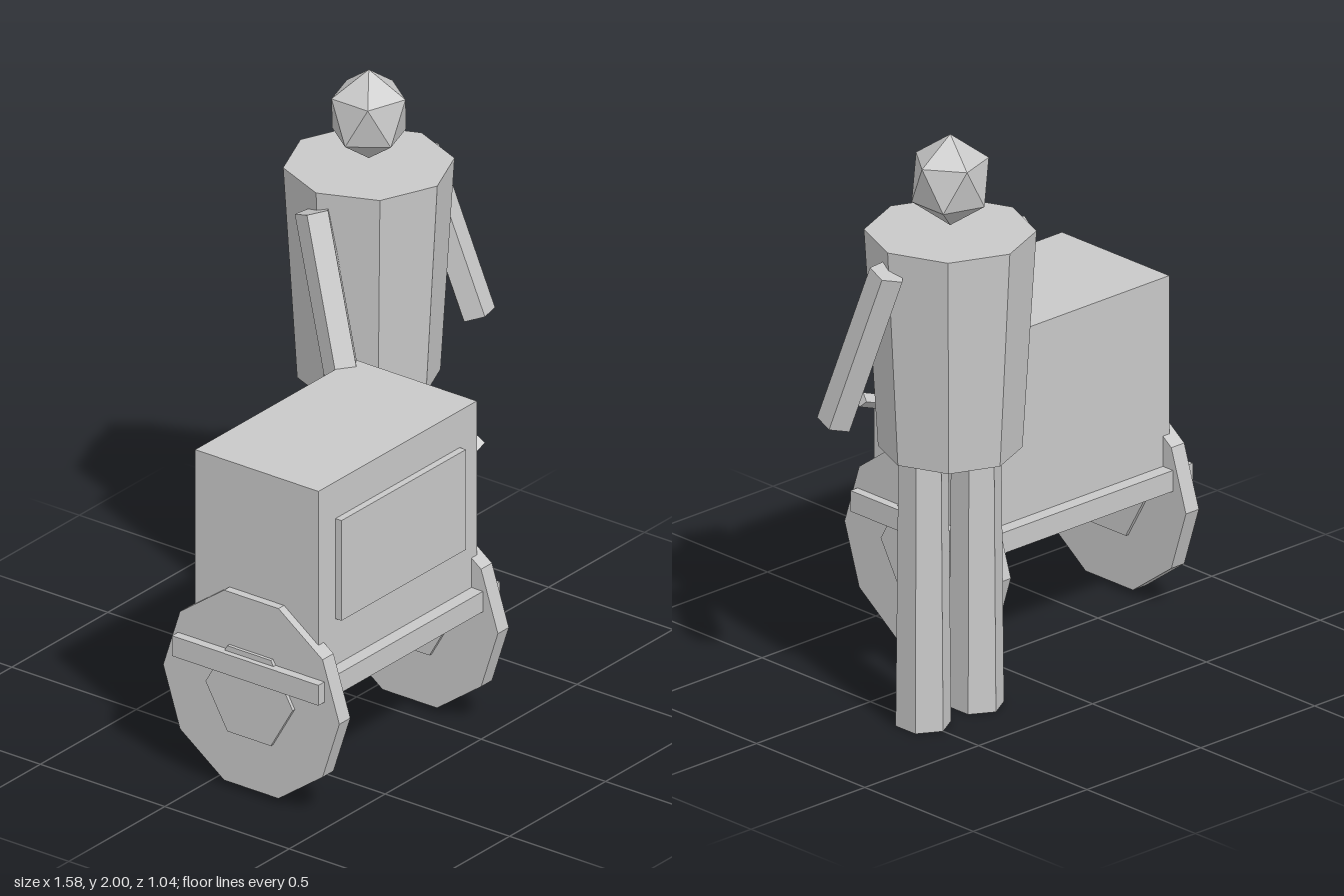
import * as THREE from 'three';
import { ConvexGeometry } from 'three/addons/geometries/ConvexGeometry.js';

export function createModel() {
  const root = new THREE.Group();
  root.name = 'vendorWithCart';
  const grey = new THREE.MeshStandardMaterial({ color: 0xc8c8c8 });
  grey.name = 'plain grey';

  // Adds a faceted mesh to a group
  function add(parent, name, geometry, x, y, z) {
    const flat = geometry.index ? geometry.toNonIndexed() : geometry;
    flat.computeVertexNormals();
    const mesh = new THREE.Mesh(flat, grey);
    mesh.name = name;
    mesh.position.set(x, y, z);
    parent.add(mesh);
    return mesh;
  }
  const box = (w, h, d) => new THREE.BoxGeometry(w, h, d);
  const prism = (top, bottom, h, sides, start = 0) =>
    new THREE.CylinderGeometry(top, bottom, h, sides, 1, false, start);

  // Cart: cabinet on a wider slab, raised front panel, side handle
  const cart = new THREE.Group();
  cart.name = 'cart';
  root.add(cart);
  const cx = -0.323, cz = 0.166;
  add(cart, 'cabinet', box(0.825, 0.65, 0.495), cx, 0.813, cz);
  add(cart, 'platform', box(0.946, 0.072, 0.588), cx, 0.452, cz);
  add(cart, 'frontPanel', box(0.648, 0.355, 0.05), cx, 0.83, 0.413);
  const handle = add(cart, 'handle', prism(0.024, 0.024, 0.175, 4), 0.187, 0.859, 0.284);
  handle.rotation.z = -THREE.MathUtils.degToRad(70);

  // Ten-sided wheels with hexagonal hubs
  for (const side of [-1, 1]) {
    const x = cx + side * 0.413;
    add(cart, 'wheel', prism(0.354, 0.354, 0.057, 10), x, 0.356, cz).rotation.z = Math.PI / 2;
    add(cart, 'hub', prism(0.175, 0.175, 0.08, 6), x, 0.355, cz).rotation.z = Math.PI / 2;
  }

  // Standing figure
  const figure = new THREE.Group();
  figure.name = 'figure';
  figure.position.set(0.385, 0, -0.248);
  root.add(figure);
  add(figure, 'torso', prism(0.275, 0.23, 0.746, 8), 0, 1.296, 0);
  for (const side of [-1, 1]) {
    add(figure, 'leg', prism(0.082, 0.091, 0.923, 6), side * 0.116, 0.4615, 0.002);
  }

  // Head: tall icosahedron standing on a point
  const points = [new THREE.Vector3(0, 0.157, 0), new THREE.Vector3(0, -0.157, 0)];
  for (let i = 0; i < 5; i++) {
    const a = i * Math.PI * 0.4;
    const x = 0.124 * Math.cos(a), z = 0.124 * Math.sin(a);
    points.push(new THREE.Vector3(x, 0.07, z), new THREE.Vector3(-x, -0.07, -z));
  }
  add(figure, 'head', new ConvexGeometry(points), 0, 1.843, 0);

  // Five-sided arms reaching forward and outward
  for (const [side, spin] of [[1, 46], [-1, 1]]) {
    const shoulder = new THREE.Vector3(side * 0.28, 1.605, -0.007);
    const hand = new THREE.Vector3(side * 0.343, 1.053, 0.171);
    const mid = shoulder.clone().add(hand).multiplyScalar(0.5);
    const geometry = prism(0.06, 0.06, shoulder.distanceTo(hand), 5, THREE.MathUtils.degToRad(spin));
    const arm = add(figure, side > 0 ? 'leftArm' : 'rightArm', geometry, mid.x, mid.y, mid.z);
    arm.quaternion.setFromUnitVectors(new THREE.Vector3(0, 1, 0), shoulder.sub(hand).normalize());
  }
  return root;
}
